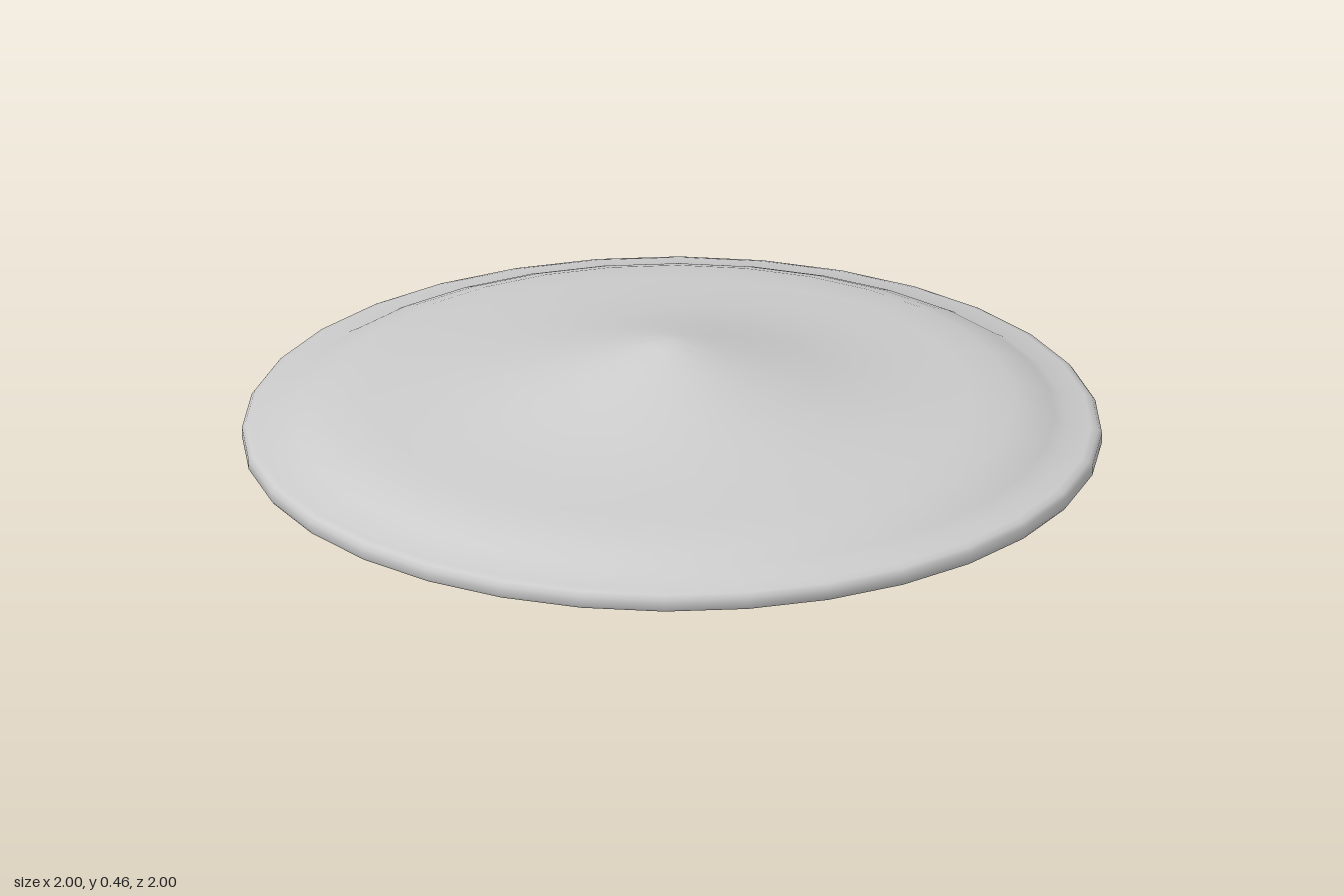
import * as THREE from 'three';
import { toCreasedNormals } from 'three/addons/utils/BufferGeometryUtils.js';

const material = new THREE.MeshStandardMaterial({ color: 0xcccccc });
const vectors = (pts) => pts.map(([x, y]) => new THREE.Vector2(x, y));

// Hollow round shield: underside from centre to rim, then the top back to the peak
function makeShield() {
  const under = [[0, 0.432], [0.1, 0.415], [0.2, 0.383], [0.3, 0.352], [0.45, 0.318], [0.6, 0.3],
    [0.79, 0.278], [0.85, 0.26], [0.91, 0.235], [0.965, 0.225], [0.975, 0.205]];
  const over = [[0.995, 0.205], [1, 0.212], [1, 0.234], [0.992, 0.245], [0.975, 0.25], [0.92, 0.255],
    [0.89, 0.272], [0.85, 0.289], [0.8, 0.306], [0.7, 0.316], [0.58, 0.328], [0.45, 0.347],
    [0.34, 0.372], [0.22, 0.406], [0.12, 0.435], [0.05, 0.454], [0, 0.462]];
  const geometry = new THREE.LatheGeometry(vectors([...under, ...over]), 32);
  const mesh = new THREE.Mesh(toCreasedNormals(geometry, 0.8), material);
  mesh.name = 'shieldDisc';
  return mesh;
}

// Bent strip: half a path (z, y) mirrored, thickened and extruded along x
function makeStrap(name, half, thickness, width, x, y, tilt) {
  const path = [...half, ...half.slice(0, -1).reverse().map(([z, h]) => [-z, h])];
  const points = new THREE.SplineCurve(vectors(path)).getPoints(36);
  const side = (s) => points.map((p, i) => {
    const a = points[Math.max(i - 1, 0)];
    const b = points[Math.min(i + 1, points.length - 1)];
    const t = b.clone().sub(a).normalize();
    return new THREE.Vector2(p.x - t.y * s, p.y + t.x * s);
  });
  const shape = new THREE.Shape([...side(thickness / 2), ...side(-thickness / 2).reverse()]);
  const bevel = 0.004;
  const geometry = new THREE.ExtrudeGeometry(shape, {
    depth: width - 2 * bevel, bevelEnabled: true, bevelSize: bevel, bevelOffset: -bevel,
    bevelThickness: bevel, bevelSegments: 1,
  });
  geometry.translate(0, 0, bevel - width / 2).rotateY(Math.PI / 2);
  const mesh = new THREE.Mesh(toCreasedNormals(geometry, 0.7), material);
  mesh.name = name;
  mesh.position.set(x, y, 0);
  mesh.rotation.z = tilt;
  return mesh;
}

export function createModel() {
  const group = new THREE.Group();
  group.name = 'shield';
  group.add(makeShield());
  // Wide arm strap, hung from the underside with flared feet
  group.add(makeStrap('armStrap', [[-0.31, 0.283], [-0.275, 0.283], [-0.25, 0.265], [-0.237, 0.19],
    [-0.215, 0.14], [-0.165, 0.078], [-0.09, 0.037], [0, 0.024]], 0.018, 0.14, -0.508, 0, 0.14));
  // Narrow hand grip on the other side
  group.add(makeStrap('handGrip', [[-0.145, 0.118], [-0.125, 0.116], [-0.112, 0.1], [-0.104, 0.05],
    [-0.085, 0.024], [-0.05, 0.008], [0, 0.001]], 0.02, 0.048, 0.72, 0.176, -0.08));
  return group;
}
